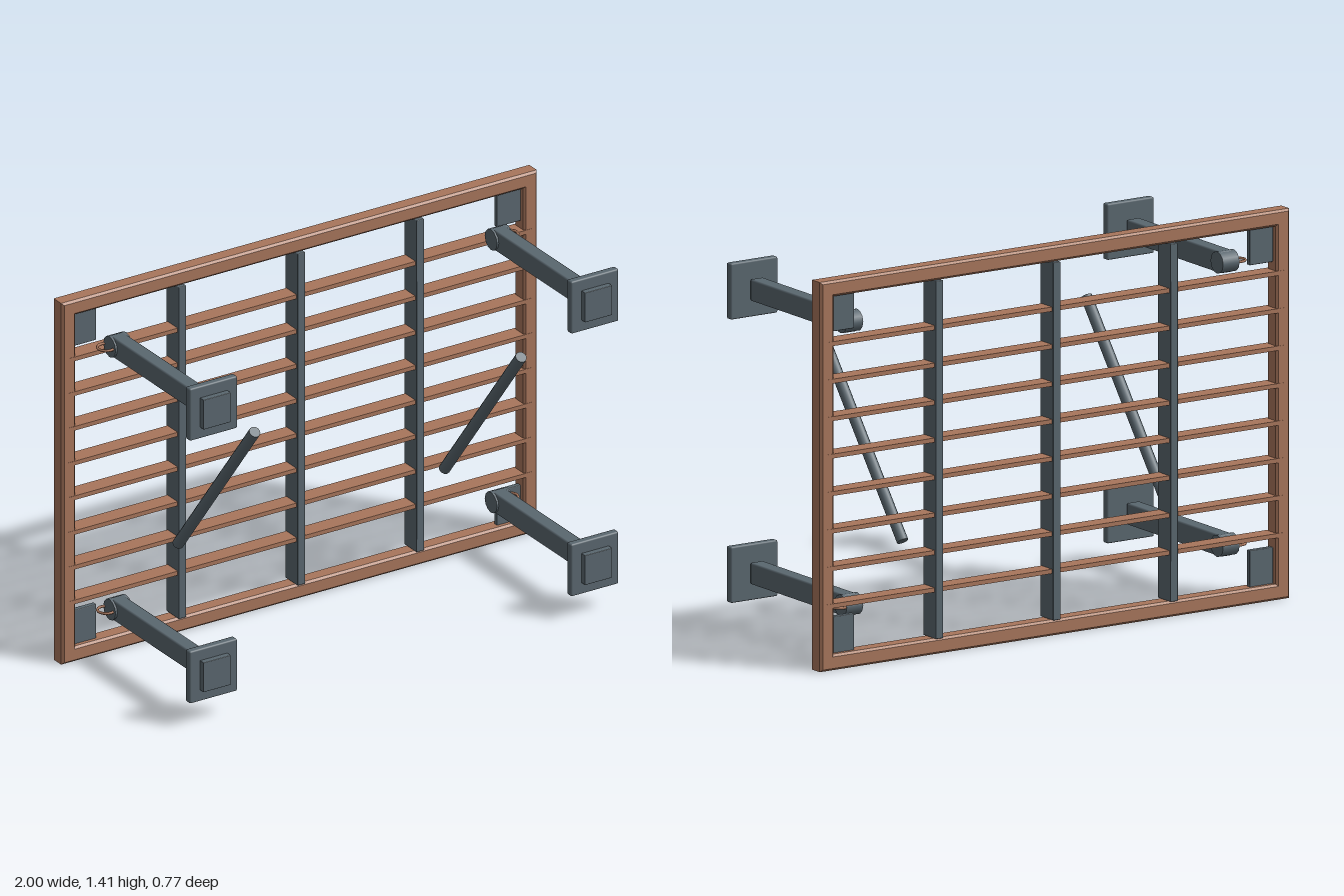
import * as THREE from 'three';
import { RoundedBoxGeometry } from 'three/addons/geometries/RoundedBoxGeometry.js';

export function createModel() {
  const model = new THREE.Group();
  model.name = 'slattedPanelWithLegs';

  const wood = new THREE.MeshStandardMaterial({ color: 0xa8765c });
  wood.name = 'copperBrown';
  const steel = new THREE.MeshStandardMaterial({ color: 0x5a676f });
  steel.name = 'slateGrey';

  const add = (name, geometry, material, x, y, z, parent = model) => {
    const mesh = new THREE.Mesh(geometry, material);
    mesh.name = name;
    mesh.position.set(x, y, z);
    parent.add(mesh);
    return mesh;
  };
  const box = (w, h, d, bevel = 0.006) => new RoundedBoxGeometry(w, h, d, 1, bevel);

  const panelZ = -0.344, height = 1.415, midY = height / 2;

  // Outer frame: one bevelled rectangle with an opening
  const rect = (Type, w, h) => {
    const r = new Type();
    r.moveTo(-w, -h);
    r.lineTo(w, -h);
    r.lineTo(w, h);
    r.lineTo(-w, h);
    r.closePath();
    return r;
  };
  const outline = rect(THREE.Shape, 1, midY);
  outline.holes.push(rect(THREE.Path, 0.942, midY - 0.058));
  const bevel = 0.008;
  const frame = new THREE.ExtrudeGeometry(outline, {
    depth: 0.064 - 2 * bevel, bevelEnabled: true, bevelSize: bevel,
    bevelThickness: bevel, bevelOffset: -bevel, bevelSegments: 1,
  });
  frame.translate(0, 0, -0.032 + bevel);
  add('frame', frame, wood, 0, midY, panelZ);

  // Horizontal slats
  for (let i = 0; i < 8; i++) {
    add('slat', new THREE.BoxGeometry(1.95, 0.016, 0.066), wood, 0, 0.235 + i * 0.136, panelZ);
  }

  // Upright bars crossing the slats
  for (const x of [-0.5, 0, 0.5]) {
    add('uprightBar', box(0.032, 1.3, 0.082, 0.003), steel, x, midY, panelZ);
  }

  for (const side of [-1, 1]) {
    for (const y of [0.198, 1.227]) {
      const up = y > midY ? 1 : -1;
      // Corner plate inside the frame
      add('cornerPlate', box(0.1, 0.135, 0.02, 0.003), steel, side * 0.892, midY + up * 0.585, panelZ);

      const leg = new THREE.Group();
      leg.name = 'leg';
      leg.position.set(side * 0.802, y, 0);
      model.add(leg);

      // Post, hinge barrel and pull ring
      add('post', box(0.055, 0.079, 0.593), steel, 0, 0, 0.0265, leg);
      const barrel = new THREE.CylinderGeometry(0.04, 0.04, 0.07, 12);
      barrel.rotateZ(Math.PI / 2);
      add('hingeBarrel', barrel, steel, 0, 0, -0.258, leg);
      const ring = new THREE.TorusGeometry(0.031, 0.005, 6, 20);
      ring.rotateX(Math.PI / 2);
      add('pullRing', ring, wood, side * 0.046, 0, -0.263, leg);

      // Square foot with a smaller pad
      add('foot', box(0.2, 0.204, 0.03), steel, 0, 0, 0.35, leg);
      add('footPad', box(0.115, 0.116, 0.024, 0.002), steel, 0, 0, 0.376, leg);
    }

    // Diagonal brace
    const top = new THREE.Vector3(side * 0.56, 1.03, 0.258);
    const bottom = new THREE.Vector3(side * 0.56, 0.391, -0.24);
    const direction = top.clone().sub(bottom);
    const centre = top.clone().add(bottom).multiplyScalar(0.5);
    const brace = add('brace', new THREE.CylinderGeometry(0.021, 0.021, direction.length(), 12),
      steel, centre.x, centre.y, centre.z);
    brace.quaternion.setFromUnitVectors(new THREE.Vector3(0, 1, 0), direction.normalize());
  }

  return model;
}
